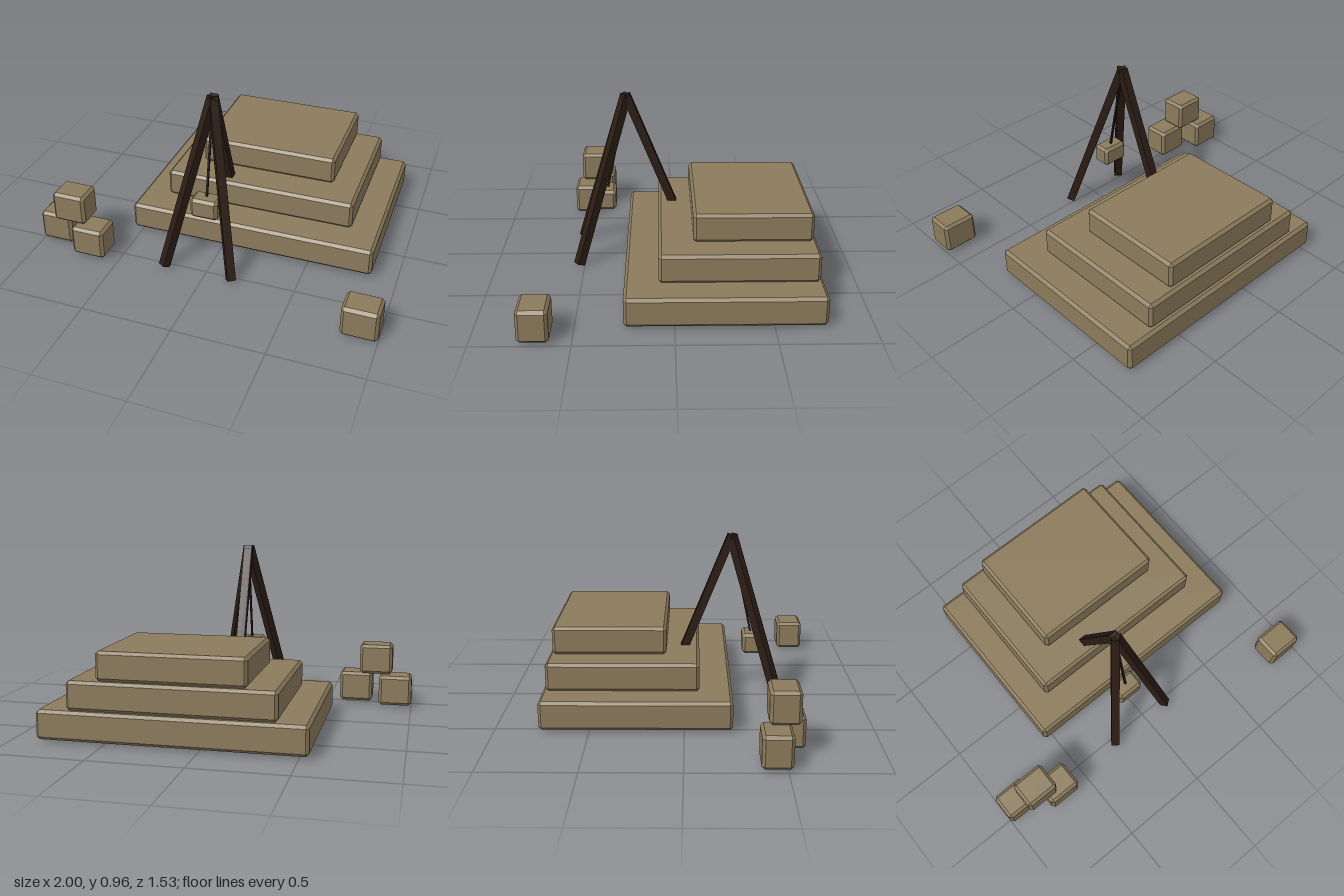
import * as THREE from 'three';
import { ConvexGeometry } from 'three/addons/geometries/ConvexGeometry.js';

const stone = new THREE.MeshStandardMaterial({ color: 0x8b7b5c, flatShading: true });
const wood = new THREE.MeshStandardMaterial({ color: 0x2b1c14, flatShading: true });
const ropeMaterial = new THREE.MeshStandardMaterial({ color: 0x1c1812, flatShading: true });

// Box between two corners with every edge cut at 45 degrees
function stoneBlock(name, [x0, y0, z0], [x1, y1, z1], bevel = 0.016) {
  const half = [(x1 - x0) / 2, (y1 - y0) / 2, (z1 - z0) / 2];
  const points = [];
  for (const sx of [-1, 1]) for (const sy of [-1, 1]) for (const sz of [-1, 1]) {
    const signs = [sx, sy, sz];
    for (let axis = 0; axis < 3; axis++) {
      const p = half.map((h, i) => signs[i] * (i === axis ? h : h - bevel));
      points.push(new THREE.Vector3(...p));
    }
  }
  const mesh = new THREE.Mesh(new ConvexGeometry(points), stone);
  mesh.name = name;
  mesh.position.set((x0 + x1) / 2, (y0 + y1) / 2, (z0 + z1) / 2);
  return mesh;
}

// Square bar running from one point to another
function bar(name, from, to, width, material) {
  const mesh = new THREE.Mesh(new THREE.BoxGeometry(width, width, from.distanceTo(to)), material);
  mesh.name = name;
  mesh.position.copy(from).lerp(to, 0.5);
  mesh.lookAt(to);
  return mesh;
}

export function createModel() {
  const model = new THREE.Group();
  model.name = 'steppedPlatformWithHoist';

  // Three stacked slabs
  const platform = new THREE.Group();
  platform.name = 'platform';
  platform.add(
    stoneBlock('bottomSlab', [-0.55, 0.013, -0.765], [0.86, 0.17, 0.255]),
    stoneBlock('middleSlab', [-0.395, 0.17, -0.745], [0.70, 0.325, 0.08]),
    stoneBlock('topSlab', [-0.24, 0.325, -0.725], [0.545, 0.48, -0.10])
  );

  // Loose blocks: a pile of three and one on its own
  const blocks = new THREE.Group();
  blocks.name = 'looseBlocks';
  blocks.add(
    stoneBlock('pileBlockOuter', [-1, 0.013, 0.37], [-0.81, 0.187, 0.525]),
    stoneBlock('pileBlockInner', [-0.765, 0.013, 0.45], [-0.573, 0.187, 0.607]),
    stoneBlock('pileBlockTop', [-0.883, 0.19, 0.412], [-0.692, 0.364, 0.569]),
    stoneBlock('singleBlock', [0.806, 0.013, 0.607], [1, 0.187, 0.765])
  );

  // Tripod hoist with a hanging block
  const hoist = new THREE.Group();
  hoist.name = 'hoist';
  const apex = new THREE.Vector3(-0.042, 0.952, 0.255);
  const feet = {
    frontRightLeg: [-0.237, 0.009, 0.53],
    frontLeftLeg: [0.153, 0.009, 0.53],
    backLeg: [-0.042, 0.009, -0.125],
  };
  for (const [name, foot] of Object.entries(feet)) {
    hoist.add(bar(name, apex, new THREE.Vector3(...foot), 0.046, wood));
  }
  hoist.add(
    bar('rope', apex.clone().setY(0.93), new THREE.Vector3(-0.042, 0.39, 0.37), 0.011, ropeMaterial),
    stoneBlock('hangingBlock', [-0.12, 0.29, 0.32], [0.036, 0.405, 0.427])
  );

  model.add(platform, blocks, hoist);
  return model;
}
